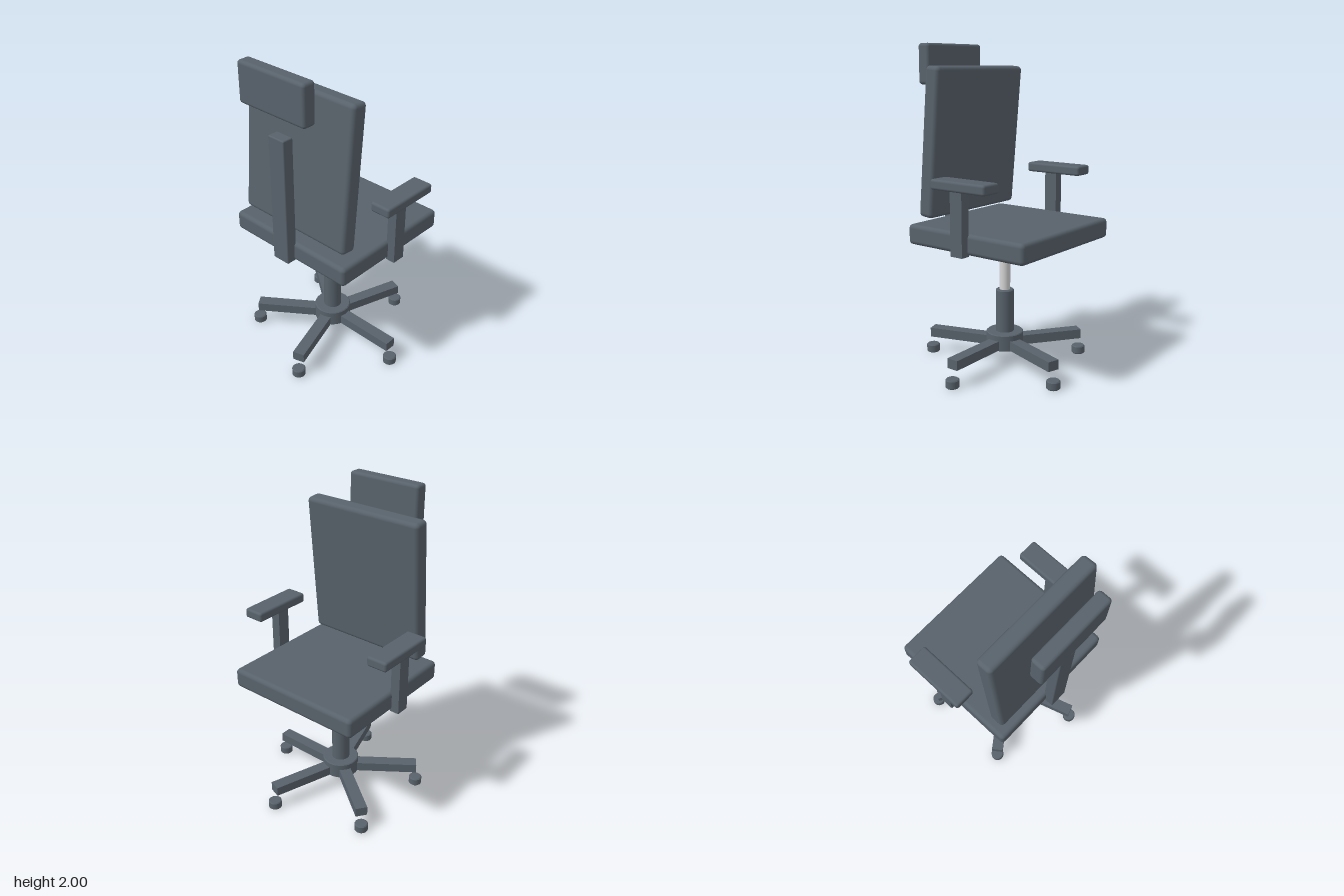
import * as THREE from 'three';
import { RoundedBoxGeometry } from 'three/addons/geometries/RoundedBoxGeometry.js';

export function createModel() {
  const slate = new THREE.MeshStandardMaterial({ color: 0x58626b });
  slate.name = 'slate';
  const metal = new THREE.MeshStandardMaterial({ color: 0xd6d6d6 });
  metal.name = 'light metal';

  const chair = new THREE.Group();
  chair.name = 'officeChair';

  const add = (name, geometry, x, y, z, material = slate, parent = chair) => {
    const mesh = new THREE.Mesh(geometry, material);
    mesh.name = name;
    mesh.position.set(x, y, z);
    parent.add(mesh);
    return mesh;
  };
  const box = (w, h, d) => new THREE.BoxGeometry(w, h, d);
  const soft = (w, h, d, r) => new RoundedBoxGeometry(w, h, d, 3, r);

  // Cylinder with small chamfered rims; repeated profile points keep edges crisp
  const drum = (r, h, c) => {
    const p = [[0, -h / 2], [r - c, -h / 2], [r, -h / 2 + c], [r, h / 2 - c], [r - c, h / 2], [0, h / 2]];
    const points = p.flatMap(([x, y], i) => {
      const v = new THREE.Vector2(x, y);
      return i === 0 || i === p.length - 1 ? [v] : [v, v.clone()];
    });
    const g = new THREE.LatheGeometry(points, 32).toNonIndexed();
    // Flat caps, smooth walls: recompute each normal from its own profile segment
    const pos = g.attributes.position, nor = g.attributes.normal;
    for (let t = 0; t < pos.count; t += 3) {
      const [a, b, d] = [0, 1, 2].map((k) => new THREE.Vector3().fromBufferAttribute(pos, t + k));
      const n = b.clone().sub(a).cross(d.clone().sub(a)).normalize();
      const flat = Math.hypot(n.x, n.z);
      [a, b, d].forEach((v, k) => {
        const q = Math.hypot(v.x, v.z);
        if (q > 1e-6 && flat > 1e-4) nor.setXYZ(t + k, v.x / q * flat, n.y, v.z / q * flat);
        else nor.setXYZ(t + k, n.x, n.y, n.z);
      });
    }
    return g;
  };

  // Upholstery
  add('seat', soft(0.903, 0.125, 0.866, 0.026), 0, 0.8625, -0.039);
  add('backrest', soft(0.81, 0.9, 0.105, 0.026), 0, 1.416, 0.257).rotation.x = -0.087;
  add('headrest', soft(0.502, 0.248, 0.088, 0.02), 0, 1.876, 0.432);

  // Back support and seat plate
  add('backSupport', soft(0.122, 0.812, 0.072, 0.008), 0, 1.206, 0.413);
  add('seatPlate', box(0.43, 0.075, 0.43), 0, 0.7675, -0.003);

  // Armrests
  for (const [side, s] of [['left', 1], ['right', -1]]) {
    add(side + 'ArmPost', box(0.06, 0.39, 0.086), s * 0.4715, 0.99, -0.039);
    add(side + 'ArmPad', soft(0.134, 0.061, 0.398, 0.015), s * 0.4715, 1.2055, -0.076);
  }

  // Gas lift column
  add('liftRod', new THREE.CylinderGeometry(0.034, 0.034, 0.29, 32), 0, 0.6, 0, metal);
  add('liftSleeve', drum(0.057, 0.29, 0.006), 0, 0.338, 0);
  add('baseHub', drum(0.117, 0.104, 0.005), 0, 0.158, 0);

  // Five-spoke base with casters
  for (let i = 0; i < 5; i++) {
    const spoke = new THREE.Group();
    spoke.name = 'baseSpoke' + (i + 1);
    spoke.rotation.y = (i / 5) * Math.PI * 2;
    add('leg', box(0.4, 0.06, 0.075), 0.305, 0.142, 0, slate, spoke);
    add('caster', drum(0.042, 0.054, 0.006), 0.505, 0.027, 0, slate, spoke);
    chair.add(spoke);
  }

  // Centre the whole chair on its footprint
  chair.children.forEach((part) => { part.position.x -= 0.0065; });
  return chair;
}
